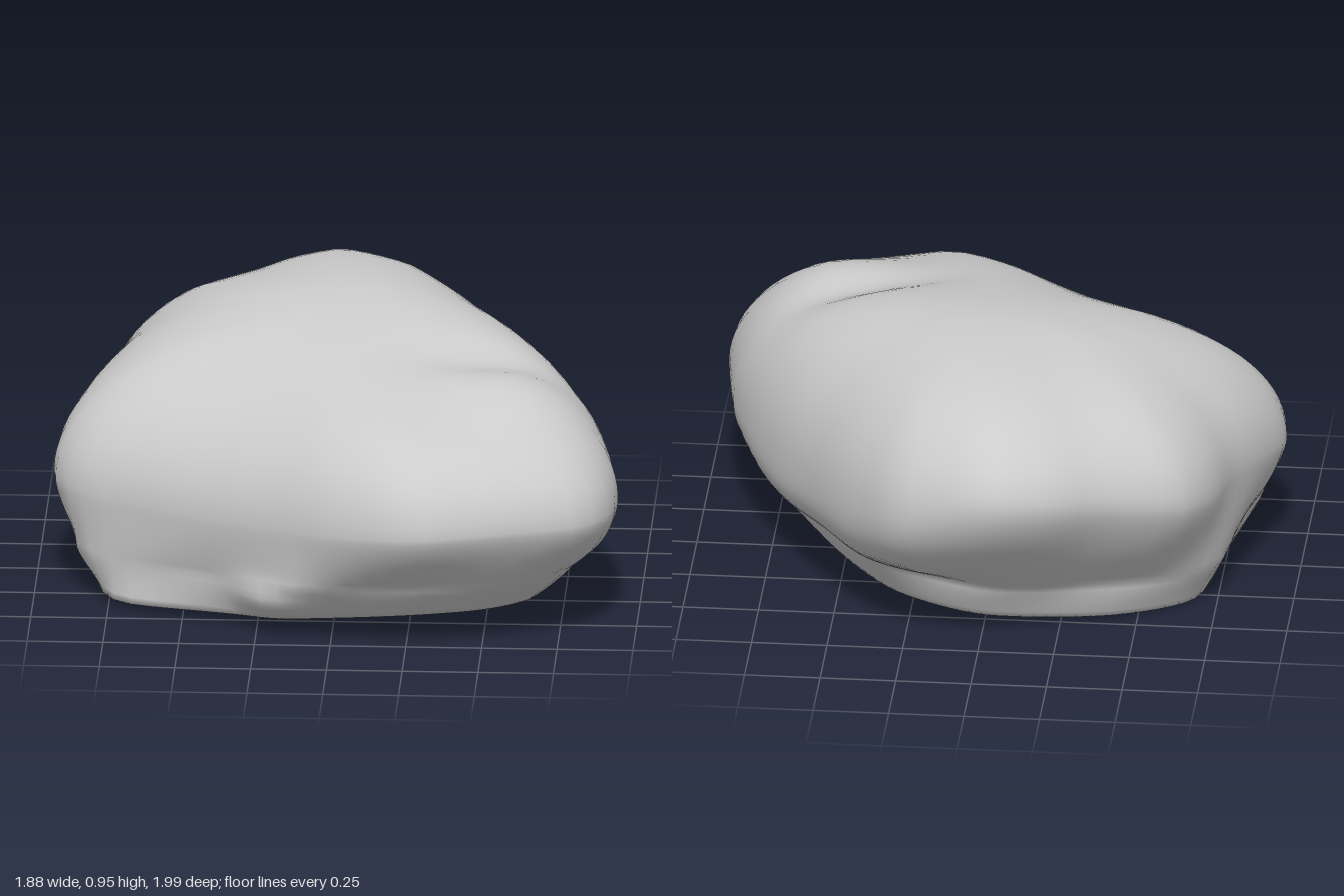
import * as THREE from 'three';

// Closed smooth loop of [x, z, y] points; returns a lookup by angle around the y axis
function loopByAngle(points, tension) {
  const curve = new THREE.CatmullRomCurve3(
    points.map(([x, z, y]) => new THREE.Vector3(x, y, z)), true, 'catmullrom', tension);
  const pts = curve.getPoints(300);
  return (angle) => {
    const c = Math.cos(angle), s = Math.sin(angle);
    for (let i = 0; i < pts.length - 1; i++) {
      const a = pts[i], b = pts[i + 1];
      const da = a.z * c - a.x * s, db = b.z * c - b.x * s;
      if (da * db > 0 || da === db) continue;
      const p = a.clone().lerp(b, da / (da - db));
      if (p.x * c + p.z * s > 0) return { r: p.x * c + p.z * s, y: p.y };
    }
    return { r: 0.5, y: 0 };
  };
}

// Widest contour of the boulder: x, z, height
const girth = loopByAngle([
  [-0.04, -1, 0.62], [0.27, -0.87, 0.53], [0.47, -0.62, 0.46], [0.6, -0.4, 0.43],
  [0.72, -0.2, 0.41], [0.82, 0, 0.41], [0.9, 0.22, 0.42], [0.94, 0.5, 0.44],
  [0.91, 0.67, 0.44], [0.83, 0.79, 0.44], [0.6, 0.9, 0.45], [0.3, 0.995, 0.45],
  [0.16, 0.96, 0.44], [-0.02, 0.87, 0.42], [-0.2, 0.74, 0.4], [-0.45, 0.57, 0.38],
  [-0.7, 0.42, 0.38], [-0.84, 0.34, 0.38], [-0.93, 0.23, 0.39], [-0.94, 0.1, 0.4],
  [-0.88, -0.1, 0.44], [-0.8, -0.3, 0.47], [-0.76, -0.5, 0.48], [-0.67, -0.67, 0.51],
  [-0.4, -0.82, 0.57], [-0.26, -0.93, 0.6],
], 0.25);

// Outer edge of the foot
const foot = loopByAngle([
  [-0.78, 0.28, 0.03], [-0.74, 0, 0.02], [-0.67, -0.29, 0.0], [-0.4, -0.48, 0.02],
  [0, -0.53, 0.03], [0.3, -0.42, 0.05], [0.52, -0.15, 0.06], [0.65, 0.15, 0.06],
  [0.66, 0.42, 0.07], [0.5, 0.62, 0.09], [0.22, 0.7, 0.09], [-0.12, 0.65, 0.06],
  [-0.45, 0.5, 0.03], [-0.7, 0.4, 0.02],
], 0.4);

// Opening underneath
const opening = loopByAngle([
  [0.42, 0.42, 0.06], [0.45, 0.21, 0.06], [0.31, -0.28, 0.06], [0.2, -0.4, 0.05],
  [-0.37, -0.37, 0.04], [-0.52, -0.21, 0.03], [-0.58, 0.23, 0.03],
  [-0.13, 0.49, 0.05], [0.3, 0.44, 0.06],
], 0.1);

// Soft round bump, 1 at the centre and fading outward
const bump = (da, db, wa, wb) => Math.exp(-((da / wa) ** 2) - (db / wb) ** 2);

// Height of the upper shell at fraction s of the girth radius; squarer toward +x +z
function topHeight(c, n, r, s, yMid) {
  const x = c * r * s, z = n * r * s, dx = x - 0.05;
  const slope = 0.085 * Math.sqrt(dx * dx + 0.015) - 0.015 * dx;
  const crown = 0.967 - slope - 0.15 * THREE.MathUtils.smoothstep(z, -0.25, 0.75);
  const power = 3.1 + 0.6 * Math.max(0, c + n) ** 2;
  const dome = Math.sqrt(Math.max(0, 1 - Math.pow(s, power)));
  let y = yMid + (crown - yMid) * dome;
  y -= 0.04 * bump(x - 0.5, z - 0.25 + 0.2 * (x - 0.5), 0.25, 0.11) * dome; // groove
  y += 0.05 * bump(x - 0.65, z - 0.47, 0.25, 0.2) * dome;                   // corner swell
  return y;
}

// Outward relief of the flank and foot
function relief(x, y, z, angle, t) {
  const knob = z > 0 ? 0.05 * bump(x + 0.2, y - 0.12, 0.09, 0.06) : 0;
  return knob + 0.012 * Math.sin(angle * 7 + y * 9) * t * t;
}

export function createModel() {
  const SEG = 80, TOP = 22, SIDE = 12, FOOT = 6, LIP = 3;
  const rows = TOP + SIDE + FOOT + LIP + 1;
  const columns = [];

  for (let j = 0; j < SEG; j++) {
    const angle = (j / SEG) * Math.PI * 2;
    const c = Math.cos(angle), n = Math.sin(angle);
    const g = girth(angle), f = foot(angle), o = opening(angle);
    const column = [];
    const add = (r, y) => column.push([r * c, y, r * n]);
    const addRough = (r, y, t) => add(r + relief(r * c, y, r * n, angle, t), y);

    // Crown, from the apex out to the girth
    for (let i = 0; i <= TOP; i++) {
      const s = Math.sin((i / TOP) * Math.PI / 2);
      add(g.r * s, topHeight(c, n, g.r, s, g.y));
    }
    // Undercut flank, from the girth down to the neck; fullest on the +x side
    const neckY = f.y + 0.14;
    const neckR = Math.min(f.r * (1.15 + 0.05 * c + 0.02 * n), g.r * 0.96);
    const fullness = 1.45 + 1.2 * Math.max(0, c - 0.5 * n) ** 2;
    for (let i = 1; i <= SIDE; i++) {
      const t = i / SIDE;
      addRough(g.r + (neckR - g.r) * Math.pow(t, fullness), g.y + (neckY - g.y) * t, t);
    }
    // Rounded foot
    for (let i = 1; i <= FOOT; i++) {
      const t = i / FOOT;
      addRough(neckR + (f.r - neckR) * Math.pow(t, 1.15), neckY + (f.y - neckY) * t, 1 - t);
    }
    // Lip turned in to the opening
    for (let i = 1; i <= LIP; i++) {
      const t = i / LIP;
      add(f.r + (o.r - f.r) * t, f.y + (o.y - f.y) * t);
    }
    columns.push(column);
  }

  const positions = [], index = [];
  for (let i = 0; i < rows; i++) for (let j = 0; j < SEG; j++) positions.push(...columns[j][i]);
  for (let i = 0; i < rows - 1; i++) {
    for (let j = 0; j < SEG; j++) {
      const k = (j + 1) % SEG;
      const a = i * SEG + j, b = i * SEG + k, d = a + SEG, e = b + SEG;
      if (i > 0) index.push(a, b, d);
      index.push(b, e, d);
    }
  }
  const geometry = new THREE.BufferGeometry();
  geometry.setAttribute('position', new THREE.Float32BufferAttribute(positions, 3));
  geometry.setIndex(index);
  geometry.computeVertexNormals();

  const boulder = new THREE.Mesh(geometry,
    new THREE.MeshStandardMaterial({ color: 0xcccccc, side: THREE.DoubleSide }));
  boulder.name = 'boulderShell';

  const group = new THREE.Group();
  group.name = 'boulder';
  group.add(boulder);
  return group;
}
